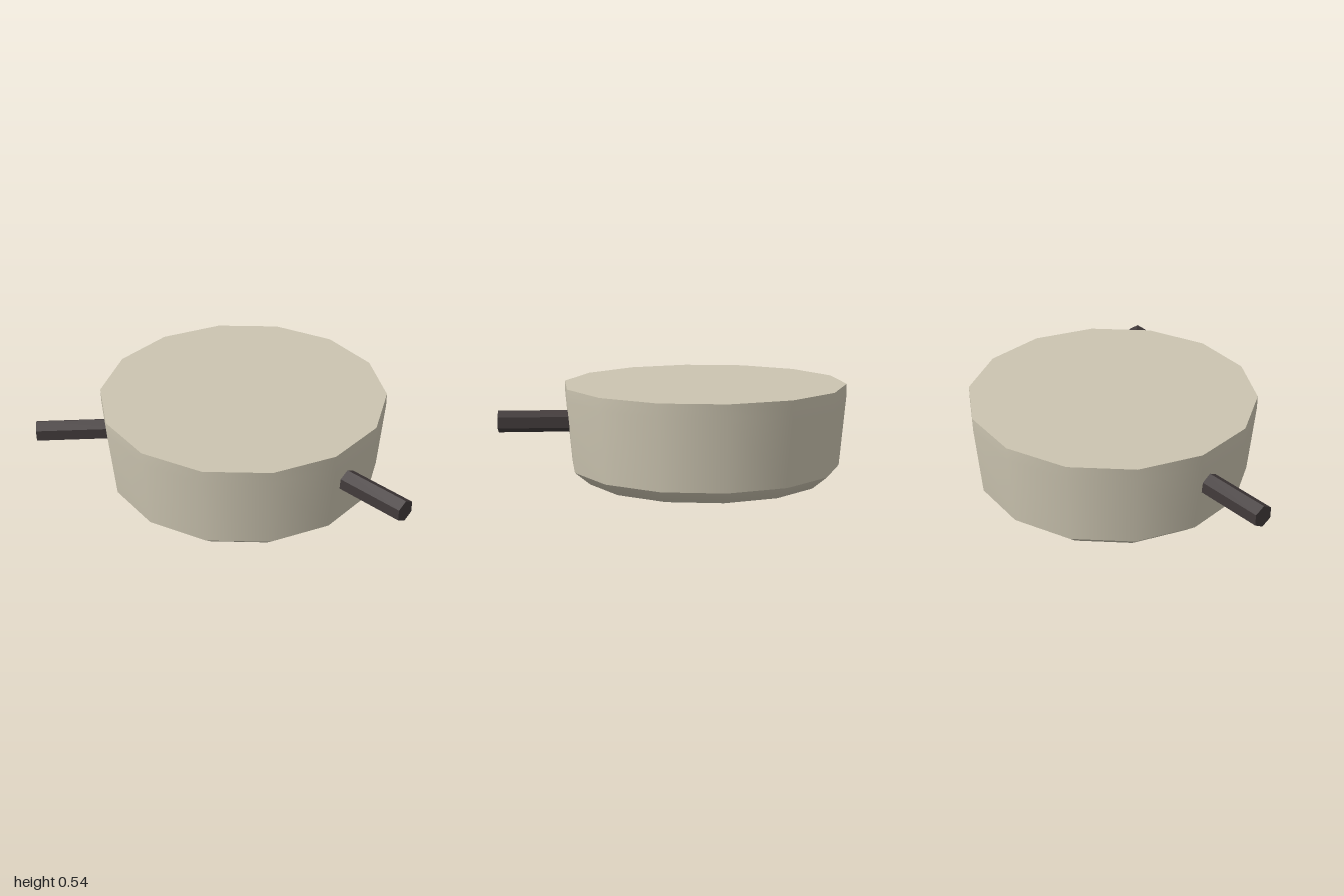
import * as THREE from 'three';
import { toCreasedNormals } from 'three/addons/utils/BufferGeometryUtils.js';

export function createModel() {
  const group = new THREE.Group();
  const shell = new THREE.MeshStandardMaterial({ color: 0xcbc4b0 });
  shell.name = 'warm stone';
  const dark = new THREE.MeshStandardMaterial({ color: 0x423b3b });
  dark.name = 'dark wood';

  const add = (name, geometry, material, x, y, z) => {
    const mesh = new THREE.Mesh(geometry, material);
    mesh.name = name;
    mesh.position.set(x, y, z);
    group.add(mesh);
    return mesh;
  };

  // Fourteen-sided body with a chamfered base, slightly off centre
  const profile = [[0, 0.035], [0.633, 0.035], [0.713, 0.102], [0.745, 0.47], [0.745, 0.535], [0, 0.535]]
    .map(([r, y]) => new THREE.Vector2(r, y));
  const body = new THREE.LatheGeometry(profile, 14, Math.PI / 2);
  add('body', toCreasedNormals(body, 0.72), shell, -0.05, 0, 0);

  // Hexagonal prism lying along x with a corner pointing up
  const hexPrism = (radius, length) =>
    toCreasedNormals(new THREE.CylinderGeometry(radius, radius, length, 6).rotateY(Math.PI / 2), 0.5);

  // Two feet under the base
  for (const [name, x] of [['rightFoot', -0.382], ['leftFoot', 0.283]]) {
    add(name, hexPrism(0.083, 0.045), dark, x, 0.0225, 0);
  }

  // Two arms reaching outward and forward from inside the body
  const arm = (name, inner, outer) => {
    const dx = outer[0] - inner[0], dz = outer[1] - inner[1];
    const geometry = hexPrism(0.0575, Math.hypot(dx, dz)).rotateZ(Math.PI / 2);
    const mesh = add(name, geometry, dark, (inner[0] + outer[0]) / 2, 0.337, (inner[1] + outer[1]) / 2);
    mesh.rotation.y = -Math.atan2(dz, dx);
  };
  arm('leftArm', [0.57, 0.193], [0.985, 0.32]);
  arm('rightArm', [-0.57, 0.315], [-0.975, 0.558]);

  return group;
}
